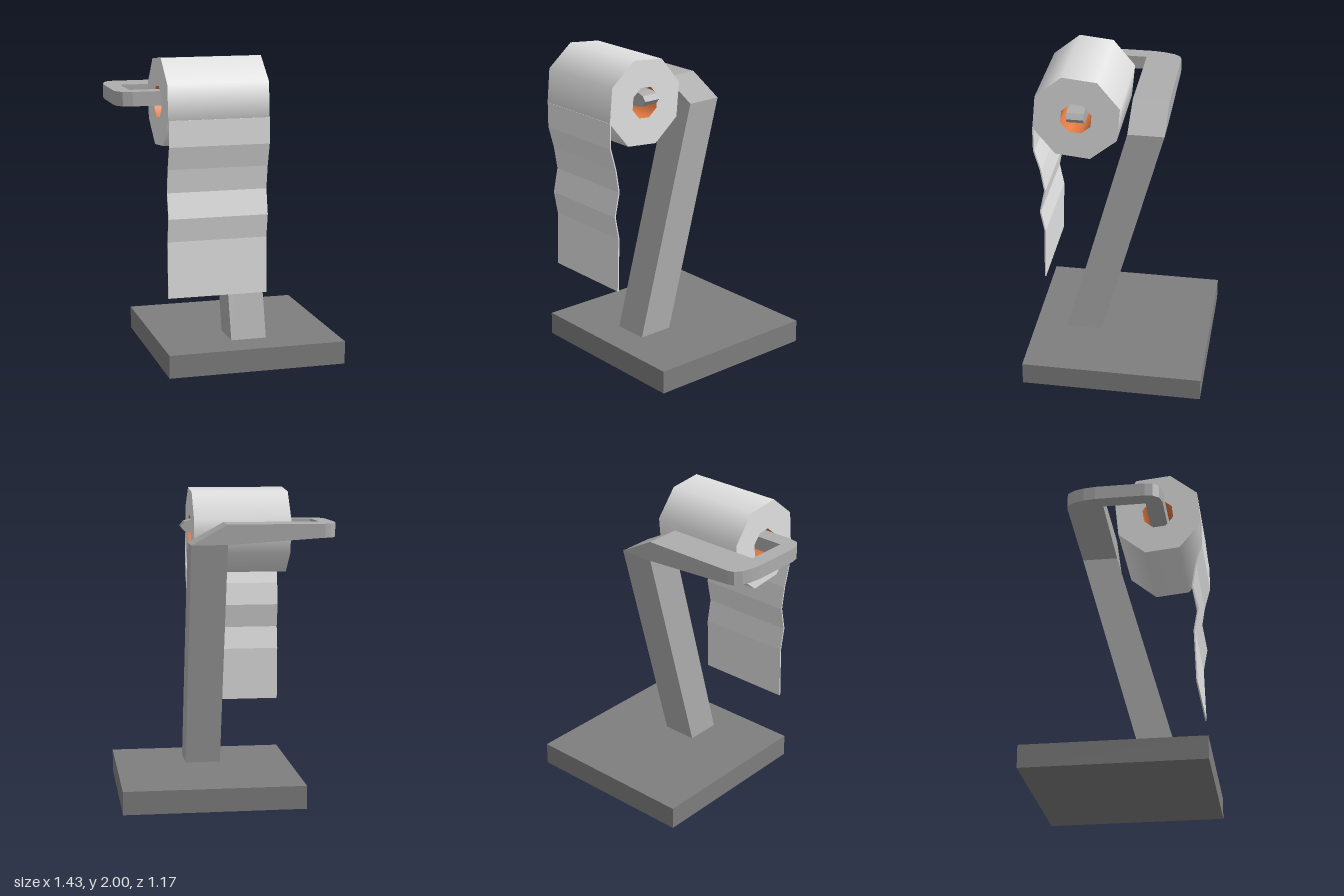
import * as THREE from 'three';

export function createModel() {
  const model = new THREE.Group();
  const mat = (name, color, side = THREE.FrontSide) => {
    const m = new THREE.MeshStandardMaterial({ color, side });
    m.name = name;
    return m;
  };
  const baseGrey = mat('dark grey', 0x7e7e7e);
  const standGrey = mat('mid grey', 0xadadad);
  const paper = mat('paper white', 0xe2e2e2);
  const cardboard = mat('cardboard orange', 0xf58448, THREE.DoubleSide);

  const add = (name, geometry, material) => {
    const mesh = new THREE.Mesh(geometry, material);
    mesh.name = name;
    model.add(mesh);
    return mesh;
  };
  const extrude = (points, depth) => new THREE.ExtrudeGeometry(
    new THREE.Shape(points.map(([a, b]) => new THREE.Vector2(a, b))),
    { depth, bevelEnabled: false });
  // (x, y) profile running from z0 to z1
  const alongZ = (points, z0, z1) => extrude(points, z1 - z0).translate(0, 0, z0);
  // (z, y) profile running from x0 to x1
  const alongX = (points, x0, x1) => extrude(points, x1 - x0).rotateY(-Math.PI / 2).translate(x1, 0, 0);
  // (x, z) plan rising from y0 to y1
  const alongY = (points, y0, y1) =>
    extrude(points.map(([x, z]) => [x, -z]), y1 - y0).rotateX(-Math.PI / 2).translate(0, y0, 0);

  // Square foot and leaning post
  add('base', new THREE.BoxGeometry(1.17, 0.15, 1.175).translate(0.13, 0.075, -0.002), baseGrey);
  add('post', alongX([[0.37, 0.15], [0.135, 0.15], [-0.275, 1.66], [-0.04, 1.66]], 0.01, 0.245), standGrey);

  // Arm: wide back bar with a sloped end, rounded side bar, spindle with a blunt tip
  add('backArm', alongZ([[-0.62, 1.7], [0.01, 1.66], [0.245, 1.66], [0.01, 1.79], [-0.62, 1.79]],
    -0.275, -0.04), standGrey);
  add('sideArm', alongY([
    [-0.62, -0.275], [-0.66, -0.262], [-0.69, -0.22], [-0.71, -0.155], [-0.72, -0.08],
    [-0.72, 0.24], [-0.71, 0.29], [-0.68, 0.33], [-0.62, 0.345],
  ], 1.7, 1.79), standGrey);
  add('spindle', alongZ([[-0.62, 1.7], [0.19, 1.7], [0.235, 1.713], [0.26, 1.745],
    [0.235, 1.777], [0.19, 1.79], [-0.62, 1.79]], 0.235, 0.345), standGrey);

  // Eight-sided paper roll with a cardboard core
  const R = 0.294, r = 0.105, x0 = -0.45, x1 = 0.195, cy = 1.718, cz = 0.294;
  const turn = THREE.MathUtils.degToRad(28);
  const tube = (radius) => new THREE.CylinderGeometry(radius, radius, x1 - x0, 8, 1, true, turn)
    .rotateZ(Math.PI / 2).translate((x0 + x1) / 2, cy, cz);
  add('paperRoll', tube(R), paper);
  add('rollCore', tube(r), cardboard);
  for (const s of [1, -1]) {
    const end = new THREE.RingGeometry(r, R, 8, 1, -s * turn)
      .rotateY(s * Math.PI / 2).translate(s > 0 ? x1 : x0, cy, cz);
    add(s > 0 ? 'rollEndLeft' : 'rollEndRight', end, paper);
  }

  // Loose sheet hanging in waves
  const wave = [[0.577, 1.635], [0.577, 1.47], [0.537, 1.325], [0.513, 1.175],
    [0.547, 1.015], [0.519, 0.865], [0.529, 0.505]];
  const back = wave.map(([z, y]) => [z - 0.009, y]).reverse();
  add('hangingSheet', alongX([...wave, ...back], -0.446, 0.196), paper);

  return model;
}
